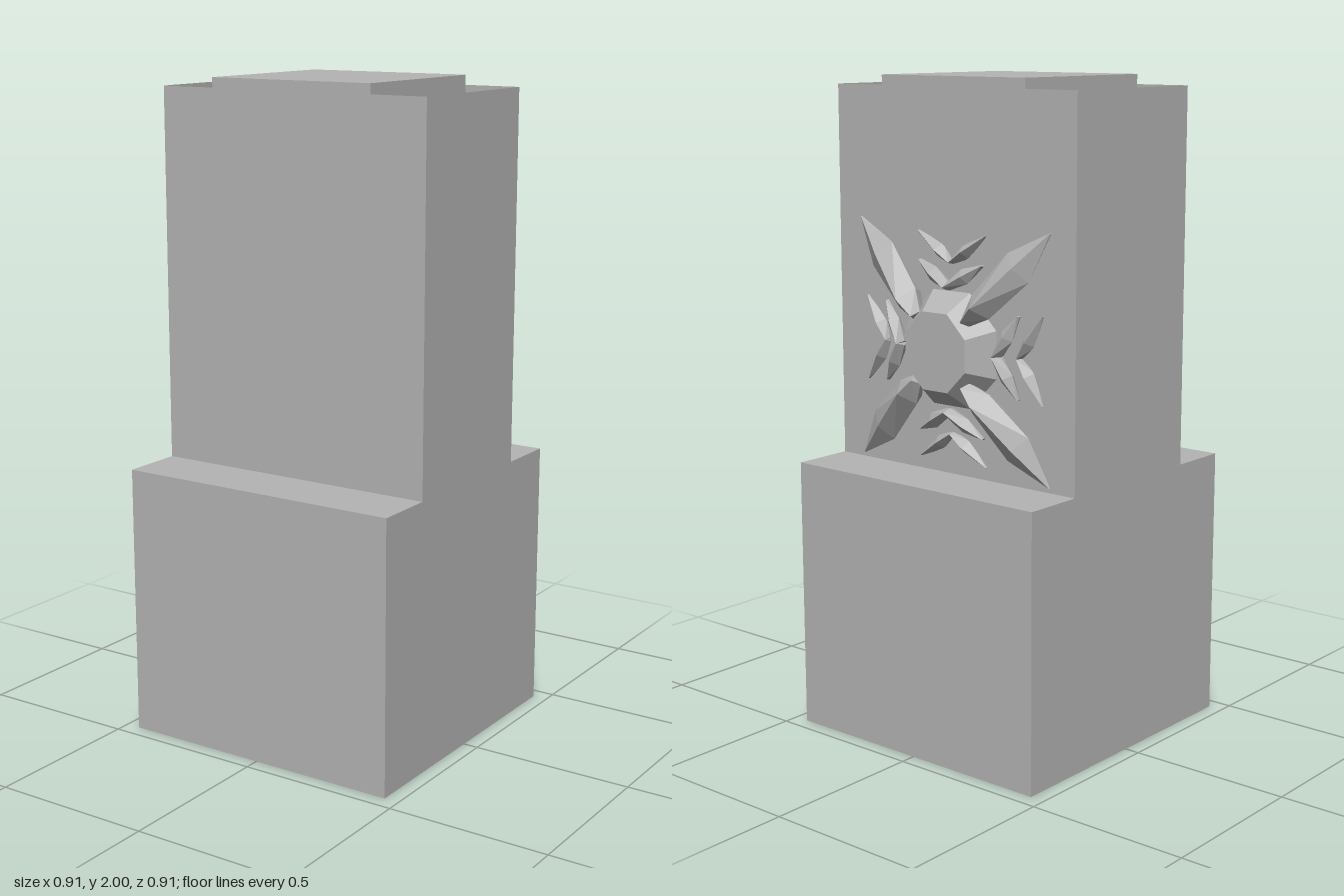
import * as THREE from 'three';
import { ConvexGeometry } from 'three/addons/geometries/ConvexGeometry.js';

const stone = new THREE.MeshStandardMaterial({ color: 0xb4b4b4, side: THREE.DoubleSide, flatShading: true });
stone.name = 'grey stone';

const BASE_TOP = 0.835, WALL_TOP = 1.97, BACK = -0.262;

function add(parent, name, geometry) {
  const mesh = new THREE.Mesh(geometry, stone);
  mesh.name = name;
  parent.add(mesh);
  return mesh;
}

function block(parent, name, w, d, y0, y1) {
  return add(parent, name, new THREE.BoxGeometry(w, y1 - y0, d).translate(0, (y0 + y1) / 2, 0));
}

// Four walls without top or bottom; the foot may be narrower than the rim.
function openWalls(w, d, y0, y1, inset = 0) {
  const g = new THREE.BoxGeometry(w, y1 - y0, d).translate(0, (y0 + y1) / 2, 0);
  const p = g.attributes.position;
  for (let i = 0; i < p.count; i++) {
    if (p.getY(i) > y0 + 1e-4) continue;
    p.setX(i, p.getX(i) - Math.sign(p.getX(i)) * inset);
    p.setZ(i, p.getZ(i) - Math.sign(p.getZ(i)) * inset);
  }
  const index = Array.from(g.index.array);
  g.setIndex([...index.slice(0, 12), ...index.slice(24)]);
  g.clearGroups();
  g.computeVertexNormals();
  return g;
}

// Faceted leaf along +x, rising to +z: stations are [distance, half width, underside, ridge].
function leaf(stations) {
  const points = [];
  for (const [r, w, low, high] of stations) {
    for (const s of [-1, 1]) {
      points.push(new THREE.Vector3(r, s * w, low + (high - low) * 0.45));
      points.push(new THREE.Vector3(r, s * w * 0.5, low));
    }
    points.push(new THREE.Vector3(r, 0, high));
  }
  return new ConvexGeometry(points);
}

function createOrnament() {
  const flower = new THREE.Group();
  flower.name = 'flowerOrnament';

  // Eight-sided boss with a flat face
  const boss = new THREE.CylinderGeometry(0.125, 0.185, 0.075, 8, 1);
  boss.rotateY(Math.PI / 8).rotateX(Math.PI / 2).translate(0, 0, 0.0435);
  add(flower, 'boss', boss);

  const petal = leaf([
    [0.135, 0.018, 0.03, 0.08],
    [0.2, 0.045, 0.0, 0.093],
    [0.37, 0.055, -0.008, 0.052],
    [0.515, 0.002, -0.002, 0.004],
  ]);
  const outerLeaf = leaf([
    [0, 0.006, -0.01, 0.02],
    [0.06, 0.024, -0.03, 0.026],
    [0.155, 0.002, -0.01, 0.006],
  ]);
  const innerLeaf = leaf([
    [0, 0.012, 0.0, 0.048],
    [0.07, 0.024, 0.0, 0.04],
    [0.14, 0.003, 0.0, 0.015],
  ]);

  for (let k = 0; k < 4; k++) {
    const quarter = new THREE.Group();
    quarter.name = 'flowerQuarter';
    quarter.rotation.z = k * Math.PI / 2;
    flower.add(quarter);

    // Long diagonal petal
    add(quarter, 'petal', petal).rotation.z = Math.PI / 4;

    // Two chevrons of small leaves, opening outward
    for (const s of [-1, 1]) {
      const outer = add(quarter, 'outerLeaf', outerLeaf);
      outer.position.x = 0.255;
      outer.rotation.z = s * 0.99;
      const inner = add(quarter, 'innerLeaf', innerLeaf);
      inner.position.x = 0.185;
      inner.rotation.z = s * 1.05;
    }
  }
  flower.position.set(0, 1.213, BACK);
  flower.rotation.y = Math.PI;
  return flower;
}

export function createModel() {
  const model = new THREE.Group();
  model.name = 'pedestal';

  // Plinth, open-topped shaft and the core that closes its middle
  block(model, 'plinth', 0.908, 0.908, 0, BASE_TOP);
  add(model, 'shaftWalls', openWalls(0.908, 0.524, BASE_TOP, WALL_TOP));
  block(model, 'core', 0.546, 0.524, BASE_TOP, 2);

  // Sloping tray and step at the bottom of the two side openings
  add(model, 'tray', openWalls(0.862, 0.478, BASE_TOP, 0.9, 0.015));
  block(model, 'coreStep', 0.64, 0.452, BASE_TOP, 0.95);

  model.add(createOrnament());
  return model;
}
